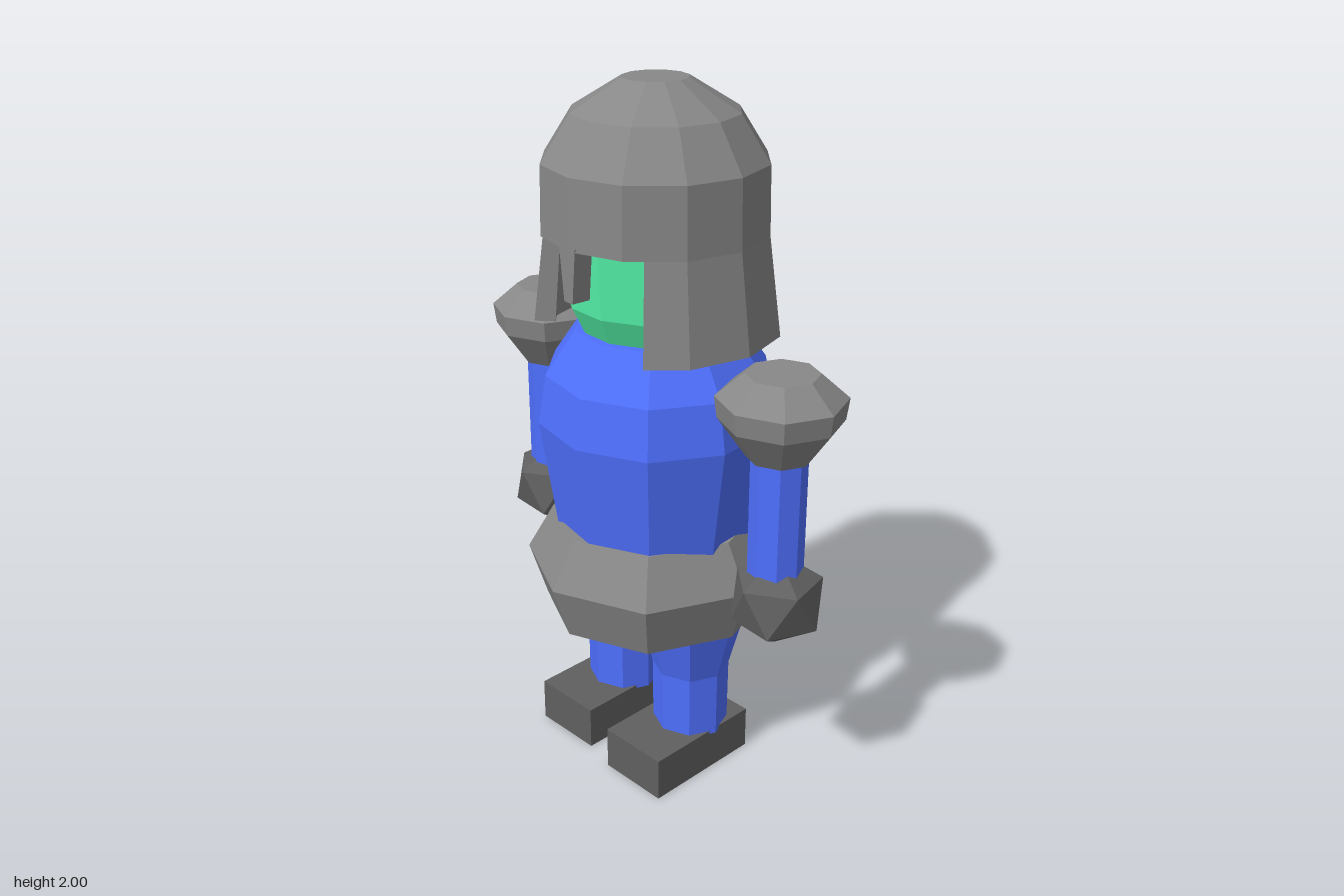
import * as THREE from 'three';

const mat = (color) => new THREE.MeshStandardMaterial({ color, flatShading: true });
const HELMET_TURN = 5; // degrees by which the twelve-sided helmet is turned

export function createModel() {
  const model = new THREE.Group();
  const grey = mat(0x888888), dark = mat(0x606060), blue = mat(0x4f70ff), green = mat(0x54f0a8);
  const V2 = (p) => new THREE.Vector2(p[0], p[1]);

  const add = (name, geometry, material, x = 0, y = 0, z = 0) => {
    const mesh = new THREE.Mesh(geometry, material);
    mesh.name = name;
    mesh.position.set(x, y, z);
    model.add(mesh);
    return mesh;
  };

  // Faceted solid of revolution from [radius, y] pairs running upwards, closed at both ends
  const turned = (profile, sides, startDegrees = 0) => {
    const pts = [[0, profile[0][1]], ...profile, [0, profile[profile.length - 1][1]]].map(V2);
    return new THREE.LatheGeometry(pts, sides, THREE.MathUtils.degToRad(startDegrees));
  };

  // Body, with a belt slightly narrower than it is deep
  add('torso', turned([[0.29, 0.74], [0.338, 1.07], [0.315, 1.21], [0.23, 1.335]], 10, 10), blue);
  const belt = turned([[0.335, 0.475], [0.388, 0.635], [0.31, 0.77]], 8, 2);
  add('belt', belt.scale(0.95, 1, 1), grey);

  // Head and helmet dome
  add('head', turned([[0.2, 1.32], [0.243, 1.41], [0.255, 1.61]], 12, 15), green, -0.01);
  const dome = [[0.312, 1.6], [0.308, 1.79], [0.228, 1.915], [0.09, 2]];
  add('helmetDome', turned(dome, 12, HELMET_TURN), grey, -0.014, 0, -0.005);

  // Helmet skirt: a thick flared wall around the sides and back, open at the face
  add('helmetSkirt', skirtGeometry(), grey, -0.014, 0, -0.005);

  // Nose guard hanging from the brow
  const guard = new THREE.Shape([[-0.033, 1.61], [-0.016, 1.46], [0.02, 1.46], [0.035, 1.61]].map(V2));
  add('noseGuard', new THREE.ExtrudeGeometry(guard, { depth: 0.055, bevelEnabled: false }), grey, 0, 0, 0.245);

  // Limbs
  for (const s of [-1, 1]) {
    const side = s > 0 ? 'left' : 'right';
    const ax = s > 0 ? 0.473 : -0.479, az = -0.018 * s;
    add(side + 'Shoulder',
      turned([[0.09, 1.1], [0.165, 1.205], [0.173, 1.265], [0.098, 1.33]], 8, 3), grey, ax, 0, az);
    add(side + 'Arm', turned([[0.076, 0.74], [0.076, 1.12]], 8, 3), blue, ax, 0, az);

    // Hand: icosahedron standing on a corner
    const hand = new THREE.IcosahedronGeometry(0.138, 0);
    hand.rotateZ(Math.atan(2 / (1 + Math.sqrt(5))));
    hand.rotateY(0.3);
    add(side + 'Hand', hand, dark, s * 0.483, 0.678, az);

    add(side + 'Leg', turned([[0.11, 0.12], [0.112, 0.32], [0.16, 0.5]], 8, 3), blue, s * 0.157, 0, 0.003);
    const foot = add(side + 'Foot', new THREE.BoxGeometry(0.217, 0.13, 0.37), dark, s * 0.161 - 0.007, 0.065, 0.05);
    foot.rotation.y = 0.08;
  }
  return model;
}

// Lofts a four-cornered wall section through the angles from one cheek to the other
function skirtGeometry() {
  const angles = [45];
  for (let a = HELMET_TURN + 60; a < 315; a += 30) angles.push(a);
  angles.push(315);
  const last = angles.length - 1, positions = [], index = [];
  const section = [[0.312, 1.6], [0.348, 1.325], [0.287, 1.325], [0.264, 1.6]];
  angles.forEach((degrees, i) => {
    const a = THREE.MathUtils.degToRad(degrees);
    // The cheek edges lie on a flat side, so a little closer to the axis
    const k = i === 0 || i === last ? 0.97 : 1;
    for (const [r, y] of section) positions.push(k * r * Math.sin(a), y, k * r * Math.cos(a));
  });
  for (let i = 0; i < last; i++) {
    for (let k = 0; k < 4; k++) {
      const a = i * 4 + k, b = i * 4 + (k + 1) % 4;
      index.push(a, b, b + 4, a, b + 4, a + 4);
    }
  }
  // End faces of the two cheeks
  const e = last * 4;
  index.push(0, 2, 1, 0, 3, 2, e, e + 1, e + 2, e, e + 2, e + 3);
  const g = new THREE.BufferGeometry();
  g.setAttribute('position', new THREE.Float32BufferAttribute(positions, 3));
  g.setIndex(index);
  g.computeVertexNormals();
  return g;
}
